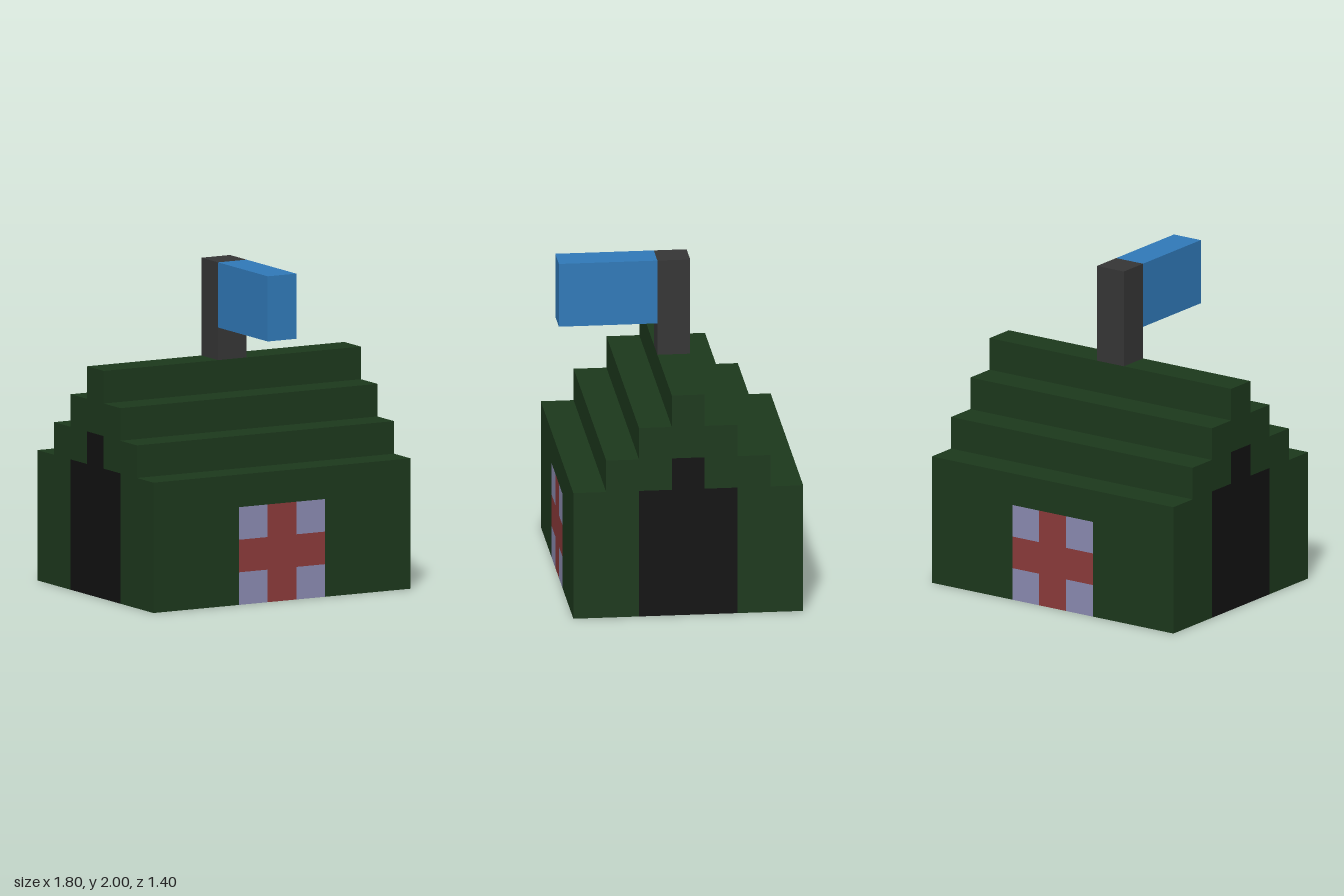
import * as THREE from 'three';

const material = (color) => new THREE.MeshStandardMaterial({ color, flatShading: true });

export function createModel() {
  const model = new THREE.Group();
  const green = material(0x1c381c);
  const black = material(0x111111);
  const red = material(0x8b3a3a);
  const pale = material(0x8a8ab0);
  const grey = material(0x353535);
  const blue = material(0x3079b8);

  const add = (parent, name, geometry, mat) => {
    const mesh = new THREE.Mesh(geometry, mat);
    mesh.name = name;
    parent.add(mesh);
    return mesh;
  };
  const box = (parent, name, w, h, d, x, y, z, mat) =>
    add(parent, name, new THREE.BoxGeometry(w, h, d), mat).position.set(x, y, z);

  // Extrudes an outline along z, centred on z = 0
  const slab = (points, depth) => {
    const shape = new THREE.Shape(points.map(([u, y]) => new THREE.Vector2(u, y)));
    return new THREE.ExtrudeGeometry(shape, { depth, bevelEnabled: false }).translate(0, 0, -depth / 2);
  };
  const mirrored = (half) => [...half, ...half.map(([u, y]) => [-u, y]).reverse()];

  // Stepped tent body with the doorway cut out, running along x
  const door = [[0.3, 0], [0.3, 0.8], [0.1, 0.8], [0.1, 1]];
  const steps = [[0.5, 0], [0.5, 1], [0.3, 1], [0.3, 1.2], [0.1, 1.2], [0.1, 1.4]];
  const doorLoop = mirrored(door);
  add(model, 'tentBody', slab([...mirrored(steps), ...doorLoop.slice().reverse()], 1.8).rotateY(Math.PI / 2), green);
  add(model, 'darkDoorway', slab(doorLoop, 1.8).rotateY(Math.PI / 2), black);

  // Front and back walls, each with a cross panel set into a notch
  const wall = mirrored([[0.3, 0.6], [0.3, 0], [0.9, 0], [0.9, 0.8]]);
  const cross = mirrored([[0.1, 0], [0.1, 0.2], [0.3, 0.2], [0.3, 0.4], [0.1, 0.4], [0.1, 0.6]]);
  for (const side of [1, -1]) {
    const group = new THREE.Group();
    group.name = side > 0 ? 'frontWall' : 'backWall';
    group.position.z = side * 0.6;
    add(group, 'wall', slab(wall, 0.2), green);
    add(group, 'cross', slab(cross, 0.2), red);
    for (const x of [-0.2, 0.2])
      for (const y of [0.1, 0.5]) box(group, 'panelCorner', 0.2, 0.2, 0.2, x, y, 0, pale);
    model.add(group);
  }

  // Flagpole on the ridge, flag flying forward
  box(model, 'flagpole', 0.2, 0.6, 0.2, 0, 1.7, 0, grey);
  box(model, 'flag', 0.2, 0.4, 0.6, 0, 1.8, 0.4, blue);

  return model;
}
